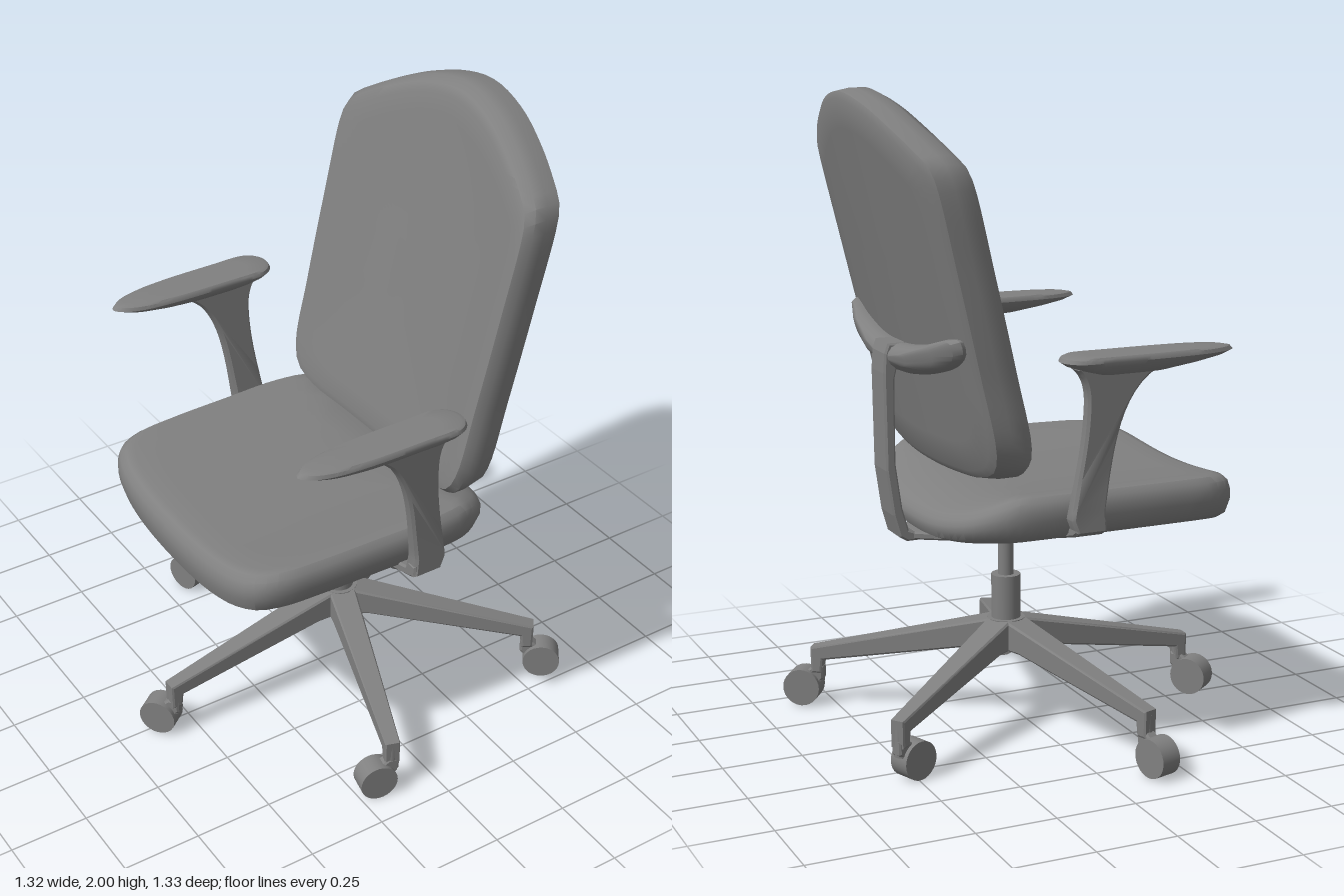
import * as THREE from 'three';
import { toCreasedNormals } from 'three/addons/utils/BufferGeometryUtils.js';

const material = new THREE.MeshStandardMaterial({ color: 0x808080, side: THREE.DoubleSide });

function add(parent, name, geometry, x = 0, y = 0, z = 0) {
  const mesh = new THREE.Mesh(geometry, material);
  mesh.name = name;
  mesh.position.set(x, y, z);
  parent.add(mesh);
  return mesh;
}

// Move every vertex of a geometry by a rule
function warp(geometry, rule) {
  const p = geometry.attributes.position, v = new THREE.Vector3();
  for (let i = 0; i < p.count; i++) {
    rule(v.fromBufferAttribute(p, i));
    p.setXYZ(i, v.x, v.y, v.z);
  }
  geometry.computeVertexNormals();
  return geometry;
}

// Closed smooth outline through a few points
const spline = (points, n = 96) => new THREE.CatmullRomCurve3(
  points.map(([u, v]) => new THREE.Vector3(u, v, 0)), true, 'centripetal').getSpacedPoints(n).slice(0, n);

// Soft body: an anticlockwise outline scaled per level [scale, t], then placed in space
function cushion(outline, levels, center, place) {
  const pos = [], index = [], n = outline.length;
  for (const [s, t] of levels) {
    for (const p of outline) {
      pos.push(...place(center[0] + (p.x - center[0]) * s, center[1] + (p.y - center[1]) * s, t));
    }
  }
  for (let i = 0; i < levels.length - 1; i++) {
    for (let j = 0; j < n; j++) {
      const a = i * n + j, b = i * n + (j + 1) % n;
      if (levels[i][0] > 0) index.push(a, b, b + n);
      if (levels[i + 1][0] > 0) index.push(a, b + n, a + n);
    }
  }
  const g = new THREE.BufferGeometry();
  g.setAttribute('position', new THREE.Float32BufferAttribute(pos, 3));
  g.setIndex(index);
  return toCreasedNormals(g, 0.65);
}

// Extruded side profile, centred across its width
function slab(points, width, bevel = 0.006) {
  const shape = new THREE.Shape(points.map(([x, y]) => new THREE.Vector2(x, y)));
  return new THREE.ExtrudeGeometry(shape, {
    depth: width - 2 * bevel, bevelThickness: bevel, bevelSize: bevel, bevelOffset: -bevel, bevelSegments: 1,
  }).translate(0, 0, bevel - width / 2);
}

export function createModel() {
  const chair = new THREE.Group();
  chair.name = 'officeChair';
  const body = new THREE.Group();
  body.name = 'chairBody';
  body.position.z = 0.047;
  chair.add(body);

  // Five-legged base with casters
  const base = new THREE.Group();
  base.name = 'base';
  base.position.x = 0.05;
  body.add(base);
  const headings = [53, 74, -20, 216, 12];
  headings.forEach((heading, i) => {
    const angle = THREE.MathUtils.degToRad(180 + 72 * i);
    const leg = warp(slab([[0, 0.24], [0.1, 0.24], [0.6, 0.155], [0.605, 0.11], [0.638, 0.11],
      [0.64, 0.195], [0.05, 0.335], [0, 0.335]], 0.09),
    (v) => { v.z *= 1 - 0.75 * Math.max(0, v.x); });
    add(base, 'baseLeg', leg).rotation.y = -angle;

    const caster = new THREE.Group();
    caster.name = 'caster';
    caster.position.set(0.62 * Math.cos(angle), 0, 0.62 * Math.sin(angle));
    caster.rotation.y = -THREE.MathUtils.degToRad(heading);
    base.add(caster);
    add(caster, 'casterStem', new THREE.CylinderGeometry(0.02, 0.02, 0.1, 16), 0, 0.13, 0);
    add(caster, 'casterFork', slab([[-0.05, 0.04], [-0.01, 0.06], [0.02, 0.09], [0.02, 0.13],
      [-0.015, 0.13], [-0.04, 0.11]], 0.04));
    add(caster, 'casterWheel', new THREE.CylinderGeometry(0.06, 0.06, 0.068, 28).rotateX(Math.PI / 2),
      -0.05, 0.06, 0);
  });
  add(base, 'hub', new THREE.CylinderGeometry(0.06, 0.055, 0.095, 20), 0, 0.288, 0);
  add(base, 'columnSleeve', new THREE.CylinderGeometry(0.046, 0.046, 0.14, 28), 0, 0.406, 0);
  add(base, 'gasLift', new THREE.CylinderGeometry(0.025, 0.025, 0.2, 24), 0, 0.555, 0);

  // Seat: rounded plan, dished across the width, sloping off at the rear
  const seatHalf = [[-0.55, 0.25], [-0.535, 0.35], [-0.5, 0.42], [-0.43, 0.455], [-0.3, 0.468],
    [-0.1, 0.474], [0.12, 0.477], [0.24, 0.455], [0.33, 0.38], [0.372, 0.25]];
  const seatOutline = spline([[-0.555, 0], ...seatHalf.map(([u, v]) => [u, -v]), [0.382, 0],
    ...[...seatHalf].reverse()]);
  add(body, 'seat', cushion(seatOutline,
    [[0, 0.72], [0.3, 0.72], [0.6, 0.72], [0.85, 0.72], [0.93, 0.722], [0.975, 0.735], [1, 0.775], [1, 0.805],
      [0.985, 0.832], [0.95, 0.85], [0.9, 0.855], [0.75, 0.855], [0.5, 0.855], [0.25, 0.855], [0, 0.855]], [-0.08, 0],
    (u, v, t) => {
      const f = (t - 0.72) / 0.135;
      const dish = (0.055 + 0.015 * (1 - f)) * (1 - (v / 0.475) ** 2);
      return [u, t - dish - (0.45 * f - 0.1) * Math.max(0, u - 0.22), -v];
    }), 0, 0, -0.014);

  // Backrest: arched outline, reclined and wrapped around the sitter
  const backHalf = [[0.2, 0.862], [0.34, 0.874], [0.425, 0.91], [0.46, 0.98], [0.47, 1.2],
    [0.477, 1.5], [0.477, 1.76], [0.462, 1.81], [0.4, 1.855], [0.3, 1.912], [0.16, 1.972]];
  const backOutline = spline([[0, 0.858], ...backHalf, [0, 2],
    ...backHalf.map(([u, v]) => [-u, v]).reverse()]);
  const recline = (y, z) => 0.245 * (y - 0.93) - 0.055 * (z / 0.475) ** 2;
  add(body, 'backrest', cushion(backOutline,
    [[0, 0.192], [0.3, 0.192], [0.6, 0.191], [0.82, 0.188], [0.93, 0.186], [0.97, 0.193], [1, 0.222], [1, 0.262],
      [0.985, 0.31], [0.95, 0.322], [0.8, 0.322], [0.6, 0.322], [0.3, 0.322], [0, 0.322]], [0, 1.42],
    (u, v, t) => [t + recline(v, u), v, -u]), 0, 0, 0.016);

  // Back support: upright bent under the seat and a curved cross bar
  add(body, 'backUpright', slab([[-0.1, 0.635], [0.4, 0.635], [0.425, 0.65], [0.445, 0.72], [0.465, 0.86],
    [0.47, 1.16], [0.466, 1.22], [0.455, 1.25], [0.4, 1.25], [0.39, 1.2], [0.425, 1.18], [0.435, 1.14],
    [0.435, 0.88], [0.415, 0.74], [0.395, 0.67], [0.37, 0.66], [-0.1, 0.66]], 0.11));
  const barOutline = spline([[0, -0.045], [0.25, -0.044], [0.38, -0.038], [0.425, -0.018], [0.425, 0.018],
    [0.38, 0.038], [0.25, 0.044], [0, 0.045], [-0.25, 0.044], [-0.38, 0.038], [-0.425, 0.018],
    [-0.425, -0.018], [-0.38, -0.038], [-0.25, -0.044]]);
  add(body, 'backCrossBar', cushion(barOutline,
    [[0, 0.3], [0.5, 0.3], [0.98, 0.3], [1, 0.33], [0.95, 0.35], [0.75, 0.37], [0.4, 0.385], [0, 0.395]], [0, 0],
    (u, v, t) => {
      const y = 1.203 + v + 0.09 * (u / 0.425) ** 2;
      return [t + recline(y, u), y, -u];
    }));

  // Under-seat plate
  add(body, 'seatPlate', slab([[-0.34, -0.08], [-0.2, -0.18], [0.18, -0.18], [0.38, -0.055],
    [0.38, 0.055], [0.18, 0.18], [-0.2, 0.18], [-0.34, 0.08]], 0.025).rotateX(Math.PI / 2), 0, 0.65, 0);

  // Armrests, mirrored left and right
  const padHalf = [[-0.42, 0.026], [-0.36, 0.05], [-0.25, 0.063], [-0.05, 0.066], [0.07, 0.064],
    [0.098, 0.048], [0.116, 0.018]];
  const padOutline = spline([[-0.44, 0], ...padHalf.map(([u, v]) => [u, -v]), ...[...padHalf].reverse()]);
  for (const side of [1, -1]) {
    const arm = new THREE.Group();
    arm.name = side > 0 ? 'leftArm' : 'rightArm';
    body.add(arm);
    add(arm, 'armPad', cushion(padOutline,
      [[0, 1.205], [0.4, 1.208], [0.7, 1.224], [0.9, 1.238], [1, 1.251], [0.97, 1.262], [0.9, 1.267],
        [0.6, 1.268], [0.3, 1.268], [0, 1.268]],
      [-0.08, 0], (u, v, t) => [u, t, -v]), 0, 0, side * 0.535);

    // Flared post, leaning outward and thicker toward the foot
    const post = new THREE.Shape();
    post.moveTo(-0.035, 0.735);
    post.lineTo(0.06, 0.735);
    post.lineTo(0.078, 0.78);
    post.bezierCurveTo(0.06, 0.9, 0.035, 1.0, 0.035, 1.12);
    post.quadraticCurveTo(0.035, 1.2, 0.08, 1.23);
    post.lineTo(-0.22, 1.23);
    post.bezierCurveTo(-0.06, 1.17, -0.055, 0.98, -0.03, 0.8);
    add(arm, 'armPost', toCreasedNormals(warp(slab(post.getPoints(14).map((p) => [p.x, p.y]), 0.042, 0.008), (v) => {
      v.z = side * (0.51 + 0.05 * (v.y - 0.74)) + v.z * (1 + 0.4 * Math.max(0, 0.9 - v.y) / 0.16);
    }), 0.7));

    // Bracket running from the plate out to the post
    const bracket = slab([[0.1, 0.636], [0.19, 0.636], [0.51, 0.725], [0.535, 0.74], [0.535, 0.775],
      [0.5, 0.775], [0.485, 0.75], [0.19, 0.662], [0.1, 0.662]], 0.1).rotateY(-Math.PI / 2);
    add(arm, 'armBracket', bracket, 0.015, 0, 0).rotation.y = side > 0 ? 0 : Math.PI;
  }
  return chair;
}
